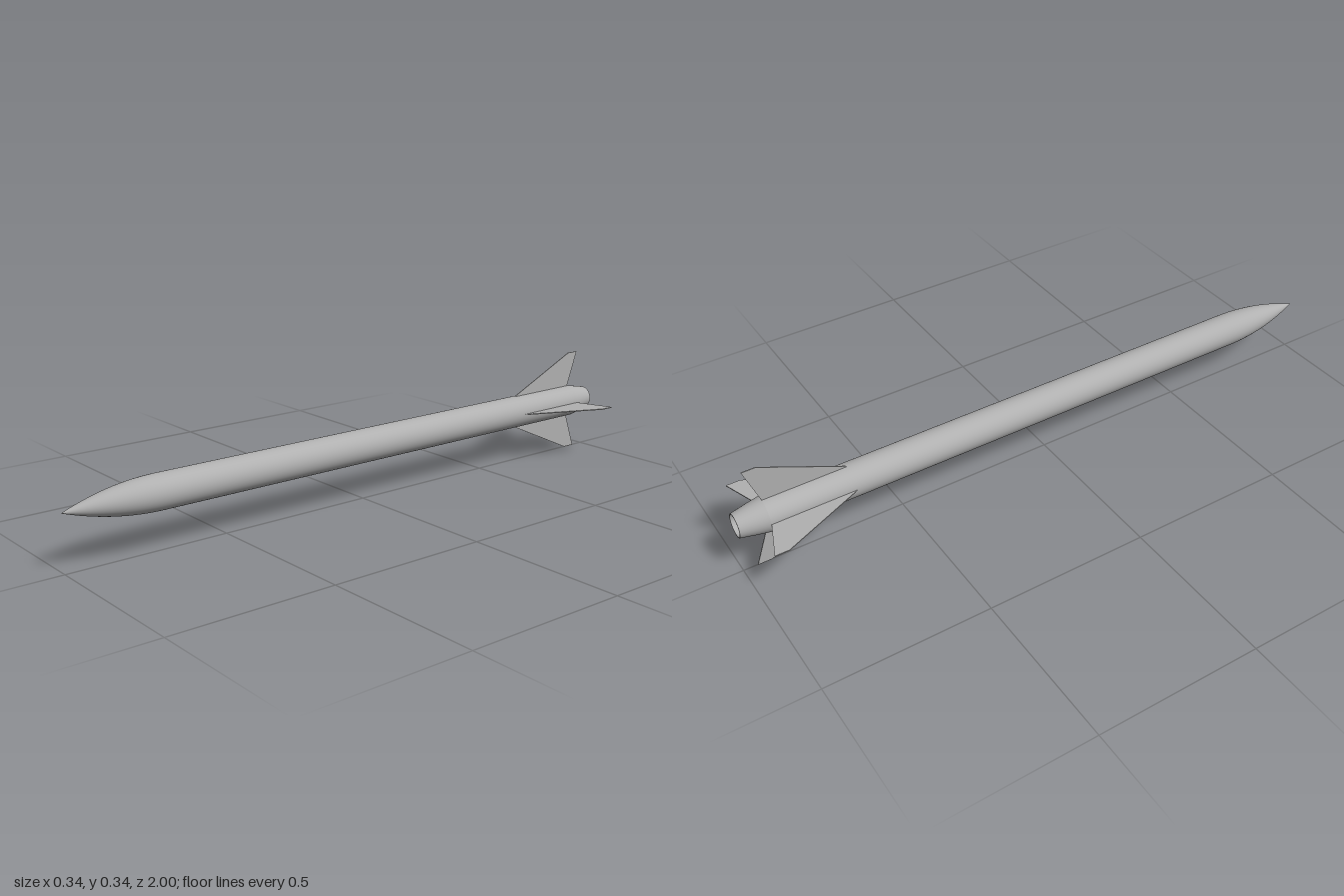
import * as THREE from 'three';

const R = 0.052;       // body radius
const AXIS = 0.168;    // height of the long axis

export function createModel() {
  const model = new THREE.Group();
  model.name = 'rocket';
  const grey = new THREE.MeshStandardMaterial({ color: 0xb0b0b0 });
  grey.name = 'grey metal';

  // Solid of revolution about z; points are [radius, z], running forward on outer faces
  const turned = (name, points) => {
    const geo = new THREE.LatheGeometry(points.map(([r, z]) => new THREE.Vector2(r, z)), 48);
    geo.rotateX(Math.PI / 2);
    const mesh = new THREE.Mesh(geo, grey);
    mesh.name = name;
    mesh.position.y = AXIS;
    model.add(mesh);
  };

  // Pointed ogive nose
  const nose = [];
  for (let i = 0; i <= 16; i++) {
    const t = i / 16;
    nose.push([R * (1 - t * t), 0.71 + 0.29 * t]);
  }
  turned('noseCone', nose);

  turned('body', [[R, -0.915], [R, 0.71]]);

  // Tapered tail with a hollow nozzle
  turned('tailCone', [[0.036, -1], [0.046, -0.95], [R, -0.915]]);
  turned('nozzleRim', [[0.033, -1], [0.036, -1]]);
  turned('nozzleBore', [[0.031, -0.92], [0.033, -1]]);
  turned('nozzleFloor', [[0, -0.92], [0.031, -0.92]]);

  // Four swept fins; shape x is the radius, shape y is z
  const outline = new THREE.Shape([
    [0.045, -0.913], [R, -0.915], [0.168, -0.957], [0.168, -0.915], [R, -0.657], [0.045, -0.642],
  ].map(([r, z]) => new THREE.Vector2(r, z)));
  const thickness = 0.003;
  const finGeo = new THREE.ExtrudeGeometry(outline, { depth: thickness, bevelEnabled: false });
  finGeo.translate(0, 0, -thickness / 2);
  finGeo.rotateX(Math.PI / 2);
  ['leftFin', 'topFin', 'rightFin', 'bottomFin'].forEach((name, i) => {
    const fin = new THREE.Mesh(finGeo, grey);
    fin.name = name;
    fin.position.y = AXIS;
    fin.rotation.z = i * Math.PI / 2;
    model.add(fin);
  });

  return model;
}
